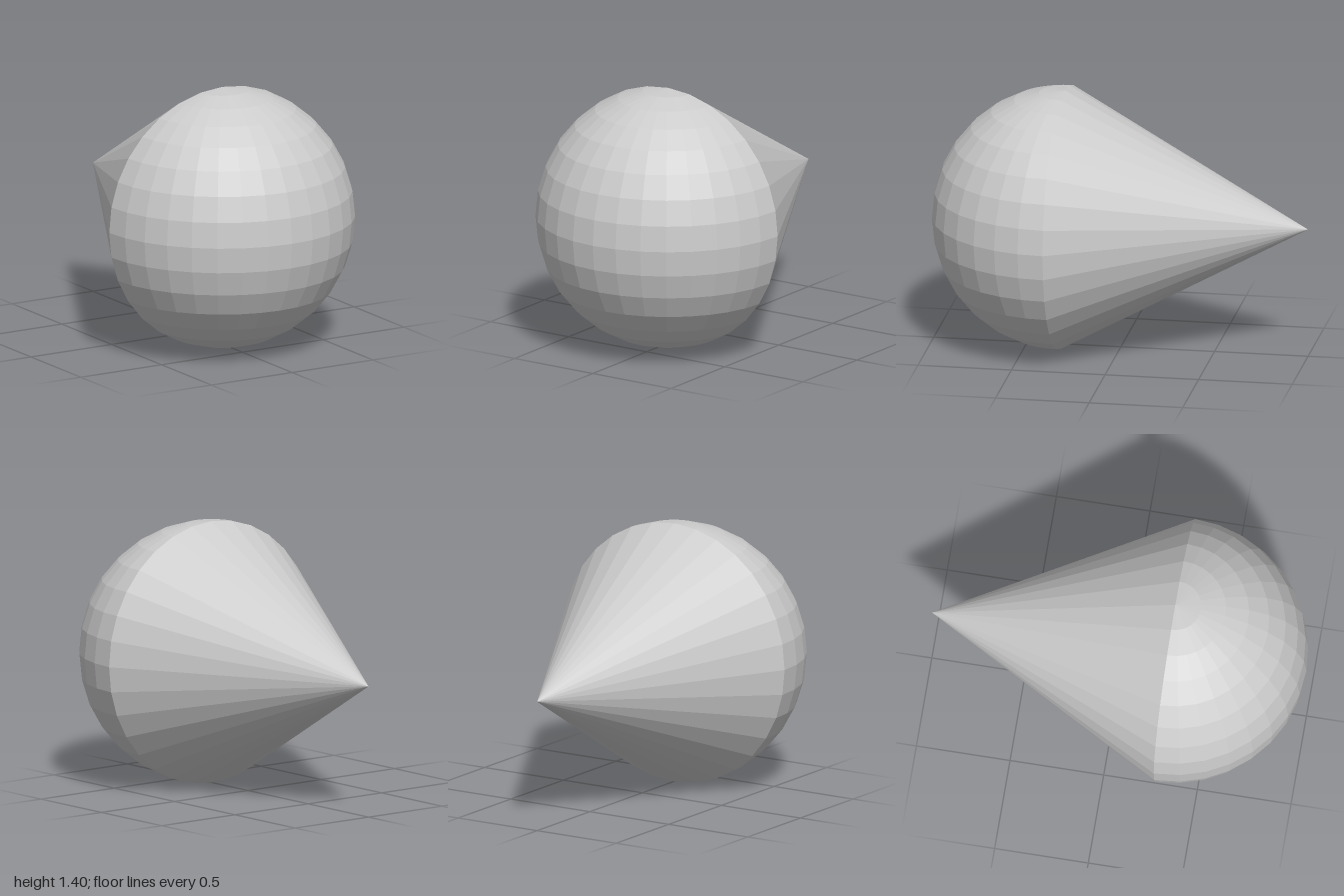
import * as THREE from 'three';

const RADIUS = 0.7;
const LENGTH = 2;
const SIDES = 32;

export function createModel() {
  const group = new THREE.Group();
  const material = new THREE.MeshStandardMaterial({
    color: 0xcccccc, flatShading: true, side: THREE.DoubleSide,
  });
  const seamZ = LENGTH / 2 - RADIUS;
  const coneLength = LENGTH - RADIUS;

  const addPart = (name, geometry, z) => {
    const mesh = new THREE.Mesh(geometry, material);
    mesh.name = name;
    mesh.position.set(0, RADIUS, z);
    group.add(mesh);
  };

  // Rounded front: half a sphere facing +z, its poles at top and bottom
  addPart('roundedFront',
    new THREE.SphereGeometry(RADIUS, SIDES / 2, SIDES / 2, 0, Math.PI), seamZ);

  // Pointed back: open cone from the seam to a tip at -z
  addPart('pointedBack',
    new THREE.ConeGeometry(RADIUS, coneLength, SIDES, 1, true).rotateX(-Math.PI / 2),
    seamZ - coneLength / 2);

  return group;
}
